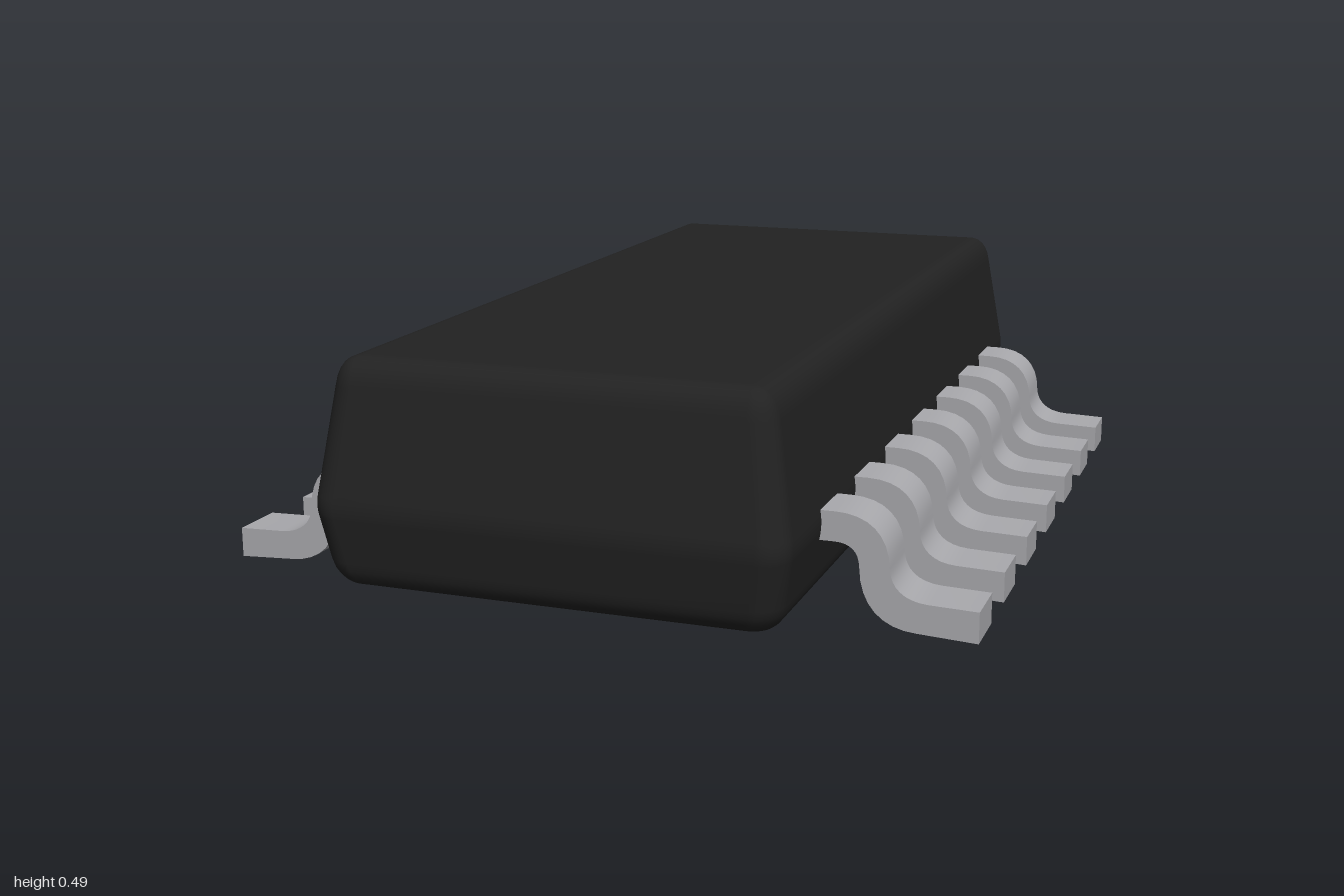
import * as THREE from 'three';
import { toCreasedNormals } from 'three/addons/utils/BufferGeometryUtils.js';

const HALF_X = 0.476, HALF_Z = 1.0;

// Rounded-rectangle loops stacked along a drafted side profile, capped at both ends
function bodyGeometry() {
  // side profile: x is the inset from the widest outline, y is the height
  const profile = new THREE.Path();
  profile.moveTo(0.075, 0.037);
  profile.quadraticCurveTo(0.027, 0.037, 0.018, 0.09);
  profile.lineTo(0.003, 0.18);
  profile.quadraticCurveTo(0, 0.2, 0.003, 0.22);
  profile.lineTo(0.036, 0.43);
  profile.quadraticCurveTo(0.045, 0.487, 0.09, 0.487);

  const rings = profile.getPoints(6);
  const positions = [], index = [];
  const arcSteps = 6, perRing = 4 * (arcSteps + 1);
  const corners = [[1, 1], [-1, 1], [-1, -1], [1, -1]];

  for (const { x: inset, y } of rings) {
    const r = Math.max(0.012, 0.055 - Math.max(0, inset - 0.03));
    corners.forEach(([sx, sz], c) => {
      for (let i = 0; i <= arcSteps; i++) {
        const a = (c + i / arcSteps) * Math.PI / 2;
        positions.push(
          sx * (HALF_X - inset - r) + r * Math.cos(a), y,
          sz * (HALF_Z - inset - r) + r * Math.sin(a));
      }
    });
  }
  for (let k = 0; k < rings.length - 1; k++) {
    for (let i = 0; i < perRing; i++) {
      const j = (i + 1) % perRing;
      const a = k * perRing + i, b = k * perRing + j;
      index.push(a, a + perRing, b, b, a + perRing, b + perRing);
    }
  }
  // flat underside and top
  const last = (rings.length - 1) * perRing;
  const bottom = positions.length / 3, top = bottom + 1;
  positions.push(0, rings[0].y, 0, 0, rings[rings.length - 1].y, 0);
  for (let i = 0; i < perRing; i++) {
    const j = (i + 1) % perRing;
    index.push(bottom, i, j, top, last + j, last + i);
  }

  const geometry = new THREE.BufferGeometry();
  geometry.setAttribute('position', new THREE.Float32BufferAttribute(positions, 3));
  geometry.setIndex(index);
  geometry.computeVertexNormals();
  return geometry;
}

// S-shaped gull-wing strip, extruded across its width
function leadGeometry(width) {
  const s = new THREE.Shape();
  s.moveTo(0.42, 0.167);
  s.lineTo(0.5, 0.167);
  s.bezierCurveTo(0.53, 0.167, 0.547, 0.152, 0.548, 0.122);
  s.bezierCurveTo(0.55, 0.05, 0.59, 0.008, 0.66, 0.006);
  s.lineTo(0.775, 0);
  s.lineTo(0.775, 0.061);
  s.lineTo(0.68, 0.064);
  s.bezierCurveTo(0.632, 0.066, 0.608, 0.09, 0.606, 0.125);
  s.bezierCurveTo(0.604, 0.19, 0.565, 0.225, 0.5, 0.225);
  s.lineTo(0.42, 0.225);
  s.closePath();
  const geometry = new THREE.ExtrudeGeometry(s, { depth: width, bevelEnabled: false, curveSegments: 8 });
  geometry.translate(0, 0, -width / 2);
  return toCreasedNormals(geometry, 0.6);
}

export function createModel() {
  const plastic = new THREE.MeshStandardMaterial({ color: 0x222222 });
  plastic.name = 'black plastic';
  const metal = new THREE.MeshStandardMaterial({ color: 0xa9a9ad });
  metal.name = 'grey metal';

  const model = new THREE.Group();
  model.name = 'chipPackage';

  const body = new THREE.Mesh(bodyGeometry(), plastic);
  body.name = 'body';
  model.add(body);

  // seven leads along each long side
  const lead = leadGeometry(0.115);
  for (const side of ['left', 'right']) {
    const row = new THREE.Group();
    row.name = side + 'Leads';
    for (let i = 0; i < 7; i++) {
      const mesh = new THREE.Mesh(lead, metal);
      mesh.name = side + 'Lead' + (i + 1);
      mesh.position.z = (i - 3) * 0.2385 - 0.004;
      if (side === 'right') mesh.rotation.y = Math.PI;
      row.add(mesh);
    }
    model.add(row);
  }
  return model;
}
